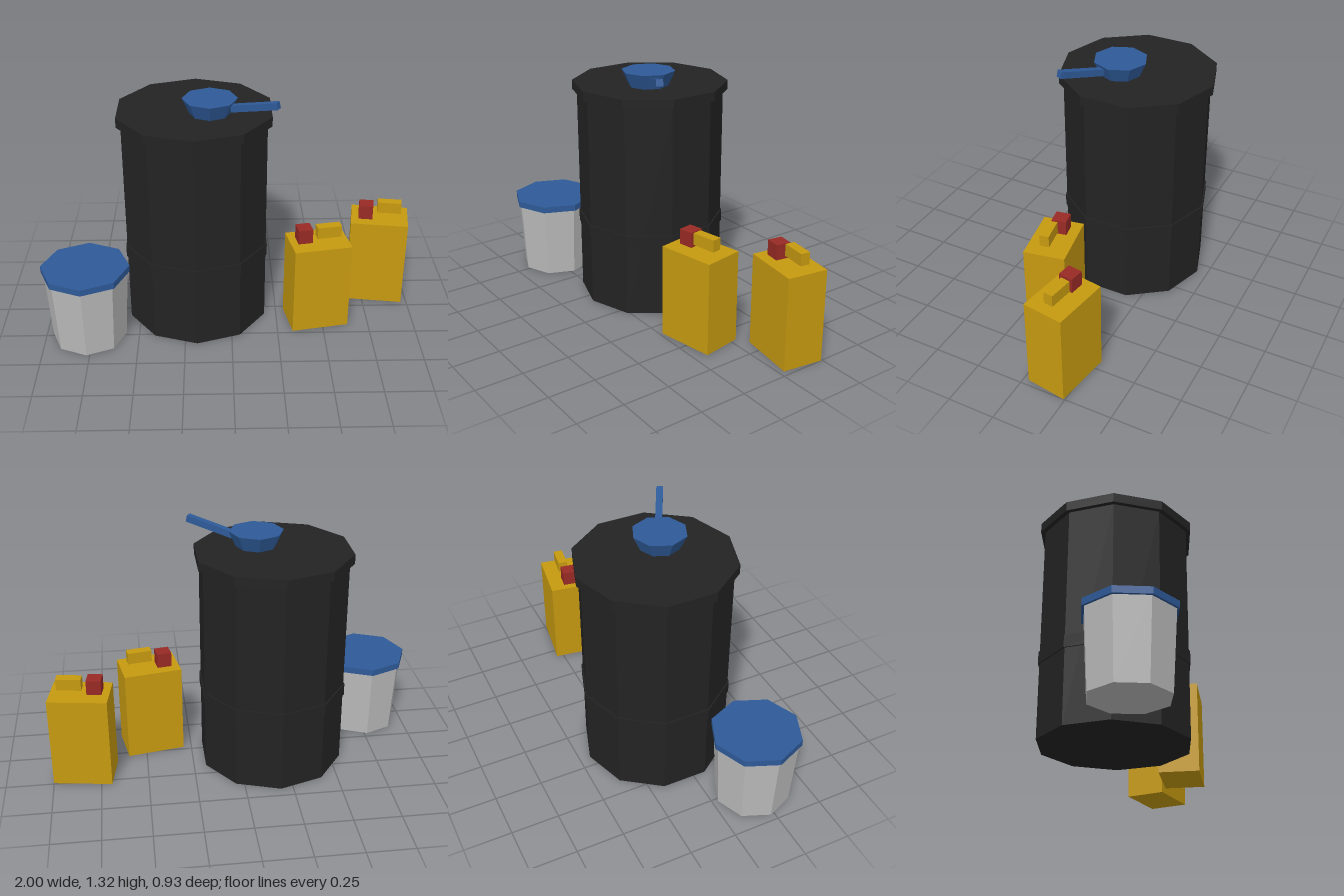
import * as THREE from 'three';

const mat = (name, color) => {
  const m = new THREE.MeshStandardMaterial({ color });
  m.name = name;
  m.flatShading = true;
  return m;
};

export function createModel() {
  const black = mat('black plastic', 0x232323);
  const blue = mat('blue plastic', 0x2e5a98);
  const grey = mat('pale grey', 0xbababa);
  const yellow = mat('yellow plastic', 0xc69a10);
  const red = mat('red cap', 0x982a24);

  const group = (name, parent, x, z) => {
    const g = new THREE.Group();
    g.name = name;
    g.position.set(x, 0, z);
    parent.add(g);
    return g;
  };
  const add = (name, parent, geometry, material, x, y, z) => {
    const m = new THREE.Mesh(geometry, material);
    m.name = name;
    m.position.set(x, y, z);
    parent.add(m);
    return m;
  };
  // Faceted upright drum between two heights
  const drum = (name, parent, rTop, rBottom, y0, y1, sides, material) =>
    add(name, parent, new THREE.CylinderGeometry(rTop, rBottom, y1 - y0, sides), material, 0, (y0 + y1) / 2, 0);

  const model = new THREE.Group();
  model.name = 'storageSet';

  // Large ten-sided barrel with a hoop and a lid
  const barrel = group('barrel', model, -0.185, -0.053);
  drum('barrelBody', barrel, 0.389, 0.389, 0, 1.145, 10, black);
  drum('barrelHoop', barrel, 0.396, 0.396, 0.39, 0.455, 10, black);
  drum('barrelLid', barrel, 0.413, 0.413, 1.145, 1.195, 10, black);

  // Scoop resting on the lid
  const scoop = group('scoop', model, -0.106, 0.011);
  drum('scoopBowl', scoop, 0.141, 0.105, 1.195, 1.275, 8, blue);
  const start = new THREE.Vector3(0.005, 1.24, 0.06);
  const end = new THREE.Vector3(0.228, 1.3, 0.177);
  const mid = start.clone().add(end).multiplyScalar(0.5);
  const handle = add('scoopHandle', model, new THREE.BoxGeometry(0.035, 0.035, start.distanceTo(end)), blue, mid.x, mid.y, mid.z);
  handle.lookAt(end);

  // Tapered bucket with a lid
  const bucket = group('bucket', model, -0.767, 0.229);
  drum('bucketBody', bucket, 0.22, 0.198, 0, 0.395, 8, grey);
  drum('bucketLid', bucket, 0.233, 0.233, 0.395, 0.43, 8, blue);

  // Two fuel cans, each part turned about its own centre
  for (const [name, x, z, turn] of [['frontCan', 0.465, 0.1, 0.18], ['rearCan', 0.831, -0.158, -0.15]]) {
    const can = group(name, model, x, z);
    const parts = [
      add('canBody', can, new THREE.BoxGeometry(0.31, 0.495, 0.217), yellow, 0, 0.2475, 0),
      add('canCap', can, new THREE.BoxGeometry(0.077, 0.08, 0.077), red, -0.078, 0.535, 0),
      add('canHandle', can, new THREE.BoxGeometry(0.13, 0.063, 0.05), yellow, 0.051, 0.554, 0),
    ];
    for (const p of parts) p.rotation.y = turn;
  }

  return model;
}
